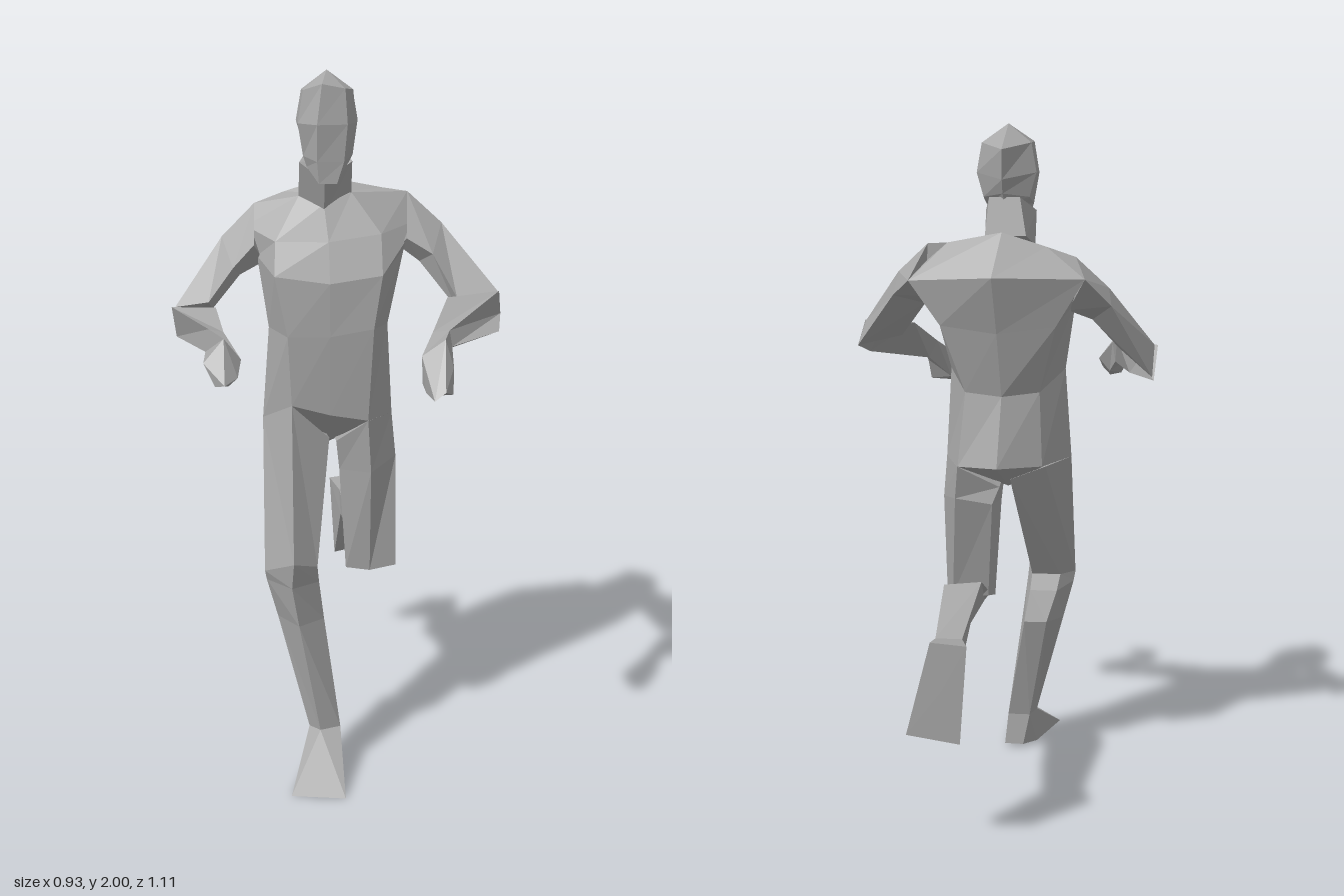
import * as THREE from 'three';

const skin = new THREE.MeshStandardMaterial({ color: 0xa6a6a6 });
skin.name = 'plain grey';

// Skins a row of closed cross-sections and caps both ends; unshared corners keep facets flat.
// Each section is a list of [x, y, z]; endPoint optionally peaks the last cap.
function loft(name, sections, endPoint) {
  const tris = [];
  const n = sections[0].length;
  const mid = (s) => [0, 1, 2].map((k) => s.reduce((sum, p) => sum + p[k], 0) / n);
  const last = sections[sections.length - 1];
  const start = mid(sections[0]);
  const end = endPoint || mid(last);
  for (let j = 0; j < n; j++) {
    const k = (j + 1) % n;
    tris.push([start, sections[0][k], sections[0][j]], [end, last[j], last[k]]);
    for (let i = 0; i < sections.length - 1; i++) {
      const a = sections[i], b = sections[i + 1];
      tris.push([a[j], a[k], b[k]], [a[j], b[k], b[j]]);
    }
  }
  // Turn the faces outward whichever way the sections run
  const v = (p) => new THREE.Vector3(...p);
  const centre = v(start).add(v(end)).multiplyScalar(0.5);
  let volume = 0;
  for (const t of tris) {
    const [a, b, c] = t.map((p) => v(p).sub(centre));
    volume += a.dot(b.cross(c));
  }
  if (volume < 0) tris.forEach((t) => t.reverse());

  const geometry = new THREE.BufferGeometry();
  geometry.setAttribute('position', new THREE.Float32BufferAttribute(tris.flat(2), 3));
  geometry.computeVertexNormals();
  const mesh = new THREE.Mesh(geometry, skin);
  mesh.name = name;
  return mesh;
}

export function createModel() {
  const model = new THREE.Group();
  model.name = 'runningFigure';
  const add = (...args) => model.add(loft(...args));

  // Torso sections: front centre, then round by the left side, back and right side
  const hips = [[-.02, 1.04, .2], [.09, 1.02, .195], [.17, 1.01, .08], [.12, 1, -.05],
    [0, 1, -.08], [-.13, 1, -.02], [-.21, 1.01, .1], [-.13, 1.07, .2]];
  const waist = [[-.02, 1.27, .2], [.105, 1.29, .195], [.155, 1.28, .08], [.1, 1.22, -.02],
    [-.01, 1.21, -.037], [-.12, 1.22, 0], [-.19, 1.28, .1], [-.14, 1.27, .195]];
  const chest = [[-.02, 1.42, .19], [.13, 1.44, .18], [.2, 1.5, .08], [.17, 1.42, -.05],
    [0, 1.4, -.08], [-.17, 1.42, -.06], [-.22, 1.48, .06], [-.175, 1.44, .175]];
  const shoulders = [[-.02, 1.53, .14], [.13, 1.55, .13], [.25, 1.58, .05], [.265, 1.55, -.04],
    [.01, 1.565, -.13], [-.255, 1.56, -.08], [-.25, 1.56, .02], [-.17, 1.53, .12]];
  const collar = [[-.03, 1.63, .09], [.05, 1.66, .07], [.215, 1.655, .02], [.15, 1.66, -.02],
    [-.01, 1.69, -.03], [-.14, 1.65, -.03], [-.225, 1.62, -.015], [-.1, 1.65, .06]];
  add('torso', [hips, waist, chest, shoulders, collar]);
  add('pelvis', [hips], [-.02, .92, .07]);

  // Neck and head
  add('neck', [
    [[-.03, 1.6, .09], [.05, 1.65, .06], [.04, 1.68, -.025], [-.08, 1.68, -.025], [-.1, 1.65, .06]],
    [[-.03, 1.7, .13], [.05, 1.75, .09], [.03, 1.79, 0], [-.06, 1.79, 0], [-.1, 1.75, .1]],
  ]);
  add('head', [
    [[0, 1.7, .185], [.03, 1.74, .1], [.035, 1.77, .04], [-.015, 1.77, .005],
      [-.07, 1.77, .04], [-.08, 1.74, .12], [-.05, 1.7, .185]],
    [[.02, 1.76, .18], [.05, 1.77, .1], [.05, 1.79, .03], [-.01, 1.8, -.01],
      [-.085, 1.79, .03], [-.09, 1.77, .12], [-.055, 1.76, .185]],
    [[.03, 1.86, .175], [.06, 1.86, .11], [.07, 1.86, .03], [-.01, 1.84, -.03],
      [-.105, 1.86, .03], [-.105, 1.86, .13], [-.055, 1.86, .188]],
    [[.025, 1.955, .155], [.05, 1.95, .11], [.055, 1.945, .03], [-.01, 1.925, -.04],
      [-.09, 1.945, .03], [-.09, 1.95, .13], [-.04, 1.968, .165]],
  ], [-.02, 2, .06]);

  // Left arm: upper arm sections run top, front, underside, back
  add('leftUpperArm', [
    [[.215, 1.655, .02], [.2, 1.54, .15], [.19, 1.5, .04], [.265, 1.55, -.04]],
    [[.31, 1.57, .06], [.27, 1.5, .18], [.24, 1.47, .12], [.325, 1.5, .04]],
    [[.45, 1.4, .24], [.33, 1.39, .25], [.33, 1.36, .22], [.465, 1.33, .19]],
  ]);
  add('leftForearm', [
    [[.465, 1.33, .19], [.45, 1.405, .24], [.3, 1.395, .27], [.445, 1.3, .285]],
    [[.295, 1.29, .41], [.29, 1.33, .39], [.245, 1.325, .385], [.27, 1.27, .38]],
  ]);
  add('leftHand', [
    [[.295, 1.29, .41], [.29, 1.33, .39], [.245, 1.325, .385], [.27, 1.27, .38]],
    [[.29, 1.25, .48], [.27, 1.32, .455], [.205, 1.28, .47], [.21, 1.2, .455]],
    [[.285, 1.185, .515], [.26, 1.2, .55], [.23, 1.178, .555], [.215, 1.185, .49]],
  ]);

  // Right arm
  add('rightUpperArm', [
    [[-.225, 1.62, -.015], [-.23, 1.52, .115], [-.2, 1.46, .04], [-.255, 1.56, -.08]],
    [[-.32, 1.53, .02], [-.29, 1.46, .14], [-.27, 1.43, .08], [-.33, 1.48, -.03]],
    [[-.455, 1.35, .135], [-.36, 1.37, .17], [-.35, 1.34, .12], [-.45, 1.26, .075]],
  ]);
  add('rightForearm', [
    [[-.455, 1.25, .075], [-.465, 1.35, .135], [-.34, 1.36, .195], [-.38, 1.26, .17]],
    [[-.37, 1.275, .36], [-.36, 1.34, .37], [-.32, 1.33, .365], [-.33, 1.27, .35]],
  ]);
  add('rightHand', [
    [[-.37, 1.275, .36], [-.36, 1.34, .37], [-.32, 1.33, .365], [-.33, 1.27, .35]],
    [[-.375, 1.27, .465], [-.32, 1.33, .44], [-.275, 1.27, .43], [-.31, 1.23, .42]],
    [[-.345, 1.215, .5], [-.32, 1.225, .535], [-.285, 1.235, .49], [-.31, 1.21, .48]],
  ]);

  // Right leg, planted: sections run front, inner, back inner, back outer, outer
  const rightKnee = [[-.135, .65, .367], [-.065, .62, .31], [-.08, .6, .23],
    [-.17, .6, .23], [-.215, .6, .28]];
  const rightAnkle = [[-.06, .12, .35], [0, .12, .33], [0, .11, .265],
    [-.07, .11, .265], [-.09, .115, .31]];
  add('rightThigh', [
    [[-.13, 1.07, .2], [-.02, .96, .16], [-.03, .95, .02], [-.14, 1, -.02], [-.21, 1.01, .1]],
    rightKnee,
  ]);
  add('rightShin', [
    rightKnee,
    [[-.14, .57, .35], [-.06, .57, .3], [-.075, .55, .21], [-.16, .55, .21], [-.21, .57, .27]],
    [[-.12, .45, .345], [-.045, .45, .29], [-.06, .455, .175], [-.13, .455, .18], [-.178, .45, .26]],
    rightAnkle,
  ]);
  add('rightFoot', [
    rightAnkle,
    [[-.153, 0, .51], [0, 0, .535], [.01, .01, .257], [-.05, .01, .255], [-.09, 0, .32]],
  ]);

  // Left leg, kicked back
  add('leftThigh', [
    [[.09, 1.02, .197], [0, .95, .16], [0, .93, 0], [.12, 1, -.055], [.17, 1.01, .08]],
    [[.1, .86, .19], [.01, .86, .15], [.02, .88, -.02], [.13, .9, -.038], [.182, .88, .09]],
    [[.1, .545, .165], [.03, .55, .15], [.04, .575, .05], [.15, .575, .05], [.18, .55, .14]],
  ]);
  const leftAnkle = [[.055, .59, -.435], [.13, .59, -.435], [.14, .515, -.43], [.06, .505, -.43]];
  add('leftShin', [
    [[.04, .57, .1], [.17, .57, .1], [.175, .54, .12], [.06, .54, .12]],
    [[.045, .655, -.08], [.16, .64, -.07], [.17, .52, .01], [.09, .497, .01]],
    leftAnkle,
  ]);
  add('leftFoot', [
    leftAnkle,
    [[.03, .6, -.528], [.13, .61, -.535], [.195, .35, -.555], [.048, .322, -.54]],
  ]);

  return model;
}
